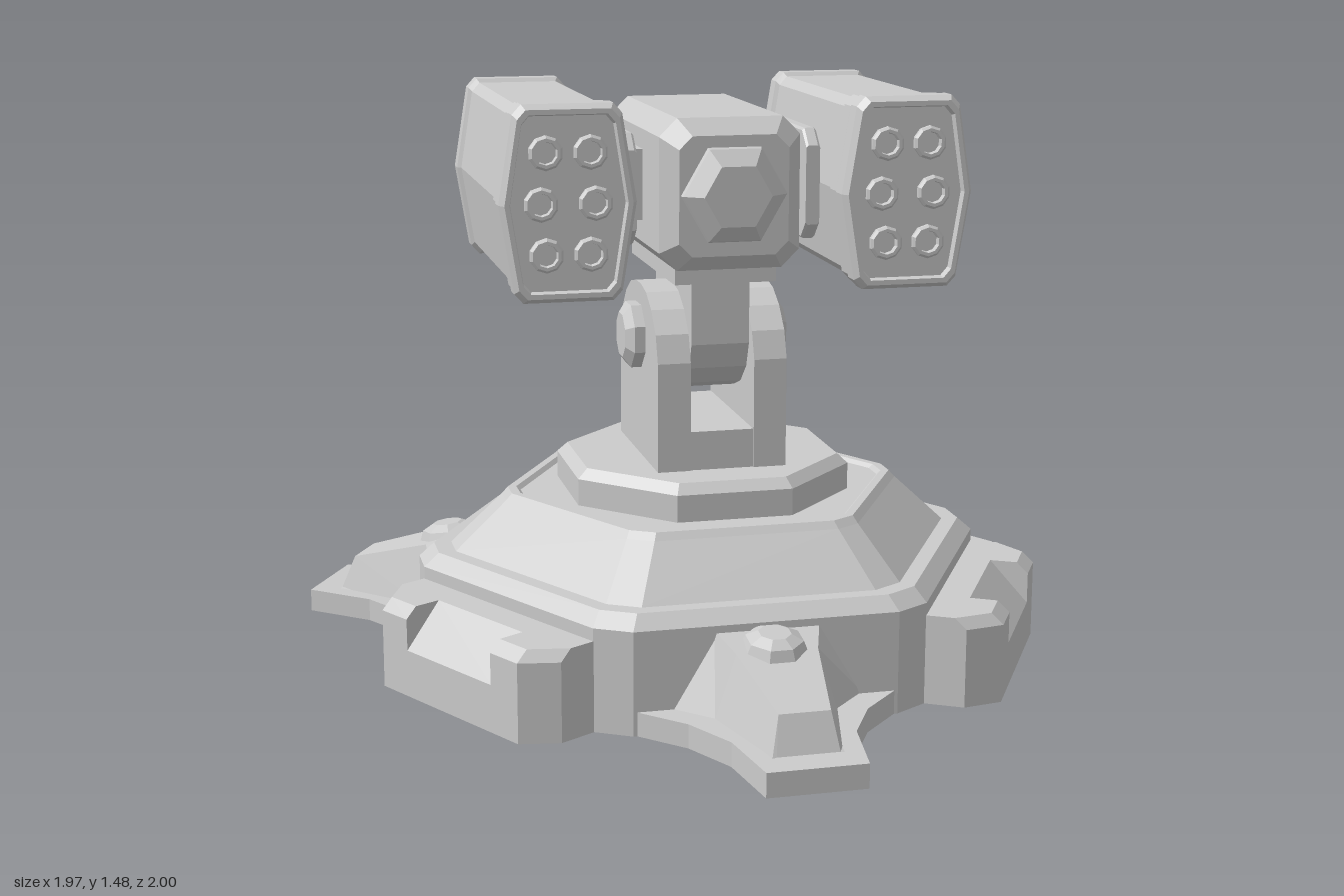
import * as THREE from 'three';

const material = new THREE.MeshStandardMaterial({ color: 0xcccccc, flatShading: true, side: THREE.DoubleSide });
const V = (x, y, z) => new THREE.Vector3(x, y, z);

// Skin a row of cross-sections; optional fan caps at either end
function loft(sections, { closed = true, capStart = false, capEnd = false } = {}) {
  const pos = [];
  const tri = (...pts) => pts.forEach(p => pos.push(p.x, p.y, p.z));
  const n = sections[0].length;
  for (let i = 0; i < sections.length - 1; i++) {
    for (let j = 0; j < (closed ? n : n - 1); j++) {
      const k = (j + 1) % n, s = sections[i], t = sections[i + 1];
      tri(s[j], s[k], t[k]);
      tri(s[j], t[k], t[j]);
    }
  }
  const cap = (ring, flip) => {
    const c = ring.reduce((a, p) => a.add(p), V(0, 0, 0)).divideScalar(n);
    ring.forEach((p, j) => {
      const q = ring[(j + 1) % n];
      flip ? tri(c, q, p) : tri(c, p, q);
    });
  };
  if (capStart) cap(sections[0], true);
  if (capEnd) cap(sections[sections.length - 1], false);
  const g = new THREE.BufferGeometry();
  g.setAttribute('position', new THREE.Float32BufferAttribute(pos, 3));
  g.computeVertexNormals();
  return g;
}

function add(parent, name, geometry, x = 0, y = 0, z = 0) {
  const mesh = new THREE.Mesh(geometry, material);
  mesh.name = name;
  mesh.position.set(x, y, z);
  parent.add(mesh);
  return mesh;
}

function group(parent, name) {
  const g = new THREE.Group();
  g.name = name;
  parent.add(g);
  return g;
}

// Hexagon with clipped corners, flat side towards +z, a = distance to a side
function hexRing(a, y) {
  const pts = [];
  const half = a * 0.5774 - 0.058 * a / 0.67;
  for (let k = 0; k < 6; k++) {
    const t = k * Math.PI / 3;
    for (const w of [-half, half]) {
      pts.push(V(Math.sin(t) * a + Math.cos(t) * w, y, Math.cos(t) * a - Math.sin(t) * w));
    }
  }
  return pts;
}

// Regular polygon ring in the horizontal plane, flat side towards +z
function polyRing(n, r, y) {
  return Array.from({ length: n }, (_, k) => {
    const t = (k + 0.5) * 2 * Math.PI / n;
    return V(Math.sin(t) * r, y, Math.cos(t) * r);
  });
}

// Rectangle with clipped corners at depth z
function clippedRect(w, h, c, z) {
  return [[w, -h + c], [w, h - c], [w - c, h], [-w + c, h], [-w, h - c], [-w, -h + c], [-w + c, -h], [w - c, -h]]
    .map(([x, y]) => V(x, y, z));
}

// Pod outline: tall hexagon with small corner chamfers
function podRing(z, inset) {
  const half = [[0.11, -0.237], [0.132, -0.213], [0.167, 0], [0.132, 0.213], [0.11, 0.237]];
  const all = [...half, ...half.map(([x, y]) => [-x, y]).reverse()];
  return all.map(([x, y]) => V(x * (1 - inset / 0.167), y * (1 - inset / 0.237), z));
}

function buildLeg(parent, angle) {
  const leg = group(parent, 'leg');
  leg.rotation.y = angle;
  const side = [[0.12, 1.09], [0.15, 0.9], [0.22, 0.77], [0.34, 0.65]];
  const outline = [...side, ...side.map(([x, z]) => [-x, z]).reverse()];
  add(leg, 'footPlate', loft([0, 0.06].map(y => outline.map(([x, z]) => V(x, y, z))), { capEnd: true }));
  // distance out, half width at the plate, half width on top, top height
  const spine = [[0.6, 0.27, 0.14, 0.25], [0.66, 0.24, 0.13, 0.245], [0.75, 0.15, 0.1, 0.215],
    [0.98, 0.09, 0.062, 0.15], [1.015, 0.085, 0.075, 0.062]];
  add(leg, 'legBody', loft(spine.map(([z, b, t, y]) =>
    [V(b, 0.06, z), V(t, y, z), V(-t, y, z), V(-b, 0.06, z)]), { closed: false }));
  const knob = add(leg, 'legKnob', loft([polyRing(8, 0.085, 0), polyRing(8, 0.07, 0.035), polyRing(8, 0.04, 0.05)],
    { capEnd: true }), 0, 0.205, 0.72);
  knob.rotation.x = 0.15;
}

function buildBlock(parent, angle) {
  const block = group(parent, 'sideBlock');
  block.rotation.y = angle;
  // position across, outer face, bevel depth, bevel start height
  const half = [[-0.33, 0.77, 0.03, 0.2], [-0.265, 0.85, 0.03, 0.2], [-0.165, 0.85, 0.03, 0.2], [-0.164, 0.85, 0.1, 0.12]];
  const stations = [...half, ...half.map(([x, ...r]) => [-x, ...r]).reverse()];
  add(block, 'blockShell', loft(stations.map(([x, o, c, y]) =>
    [V(x, 0.228, 0.62), V(x, 0.228, o - c), V(x, y, o), V(x, 0, o), V(x, 0, 0.62)]),
  { closed: false, capStart: true, capEnd: true }));
}

function buildPod(parent, side) {
  const pod = group(parent, 'rocketPod');
  pod.position.set(side * 0.422, 1.238, 0);
  const steps = [[-0.385, 0.028], [-0.402, 0.024], [-0.402, 0.014], [-0.385, 0.003], [-0.34, 0.003], [-0.33, 0.013],
    [0.26, 0.013], [0.275, 0.005], [0.325, 0.005], [0.34, 0], [0.385, 0], [0.405, 0.012], [0.405, 0.024], [0.388, 0.028]];
  add(pod, 'podShell', loft(steps.map(([z, i]) => podRing(z, i)), { capStart: true, capEnd: true }));
  // Launch tubes on both ends
  const profile = [[0.042, 0], [0.042, 0.012], [0.036, 0.018], [0.028, 0.018], [0.026, 0.002], [0, 0.002]]
    .map(p => new THREE.Vector2(...p));
  const tube = new THREE.LatheGeometry(profile, 10).rotateX(Math.PI / 2);
  for (const end of [-1, 1]) {
    for (const row of [-1, 0, 1]) {
      for (const col of [-1, 1]) {
        const m = add(pod, 'launchTube', tube, col * (row ? 0.054 : 0.066), row * 0.122, end * 0.386);
        if (end < 0) m.rotation.y = Math.PI;
      }
    }
  }
  // Mount between pod and head
  add(parent, 'podAxle', new THREE.BoxGeometry(0.14, 0.18, 0.2), side * 0.22, 1.238, 0);
  add(parent, 'podMountPlate', loft([-0.21, -0.17, 0.17, 0.21].map((z, i) =>
    clippedRect(0.018, i % 3 ? 0.14 : 0.1, 0.006, z)), { capStart: true, capEnd: true }), side * 0.235, 1.238, 0);
}

// Flat outline (depth, height) extruded across x and centred on x
function sidePlate(points, thickness) {
  const shape = new THREE.Shape(points.map(([z, y]) => new THREE.Vector2(-z, y)));
  return new THREE.ExtrudeGeometry(shape, { depth: thickness, bevelEnabled: false })
    .translate(0, 0, -thickness / 2).rotateY(Math.PI / 2);
}
const mirrored = half => [...half, ...half.map(([z, y]) => [-z, y]).reverse()];

export function createModel() {
  const root = new THREE.Group();
  root.name = 'rocketTurret';
  const turret = group(root, 'turret');
  turret.position.set(0.11, 0, 0.043);
  turret.rotation.y = 0.633;

  // Hollow base with sloped shoulders
  const base = group(turret, 'base');
  const rings = [[0.67, 0], [0.67, 0.26], [0.635, 0.294], [0.595, 0.294], [0.475, 0.418], [0.46, 0.436],
    [0.44, 0.436], [0.43, 0.426]];
  add(base, 'baseShell', loft(rings.map(([a, y]) => hexRing(a, y)), { capEnd: true }));
  for (let k = 0; k < 3; k++) {
    buildLeg(base, k * 2 * Math.PI / 3);
    buildBlock(base, (k + 0.5) * 2 * Math.PI / 3);
  }
  add(base, 'pedestal', loft([polyRing(8, 0.388, 0.426), polyRing(8, 0.388, 0.495), polyRing(8, 0.36, 0.52)], { capEnd: true }));

  // Fork with pivot bolts
  const fork = group(turret, 'fork');
  const cheek = sidePlate(mirrored([[0.225, 0.51], [0.225, 0.8], [0.2, 0.87], [0.15, 0.925], [0.09, 0.96], [0.03, 0.972]]), 0.085);
  for (const side of [-1, 1]) {
    add(fork, 'forkCheek', cheek, side * 0.125, 0, 0);
    const bolt = loft([polyRing(8, 0.088, 0), polyRing(8, 0.088, 0.03), polyRing(8, 0.06, 0.05)], { capEnd: true });
    add(fork, 'pivotBolt', bolt, side * 0.165, 0.835, 0).rotation.z = -side * Math.PI / 2;
  }
  add(fork, 'forkFloor', new THREE.BoxGeometry(0.17, 0.11, 0.44), 0, 0.565, 0);

  // Neck hanging between the cheeks
  const head = group(turret, 'head');
  add(head, 'neck', sidePlate(mirrored([[0.05, 0.7], [0.12, 0.725], [0.175, 0.775], [0.2, 0.84], [0.2, 1.03]]), 0.15));
  add(head, 'neckPlate', new THREE.BoxGeometry(0.26, 0.06, 0.5), 0, 1.035, 0);

  // Central housing with faceted lens
  const housing = [[-0.325, 0.04], [-0.285, 0], [0.285, 0], [0.33, 0.04]];
  add(head, 'housing', loft(housing.map(([z, i]) => clippedRect(0.178 - i, 0.188 - i, 0.045 - i * 0.3, z)),
    { capStart: true, capEnd: true }), 0, 1.235, 0);
  const lens = loft([polyRing(6, 0.135, 0), polyRing(6, 0.13, 0.012), polyRing(6, 0.085, 0.045)], { capEnd: true });
  lens.rotateX(Math.PI / 2);
  add(head, 'lens', lens, 0, 1.238, 0.328);
  for (const side of [-1, 1]) buildPod(head, side);

  return root;
}
